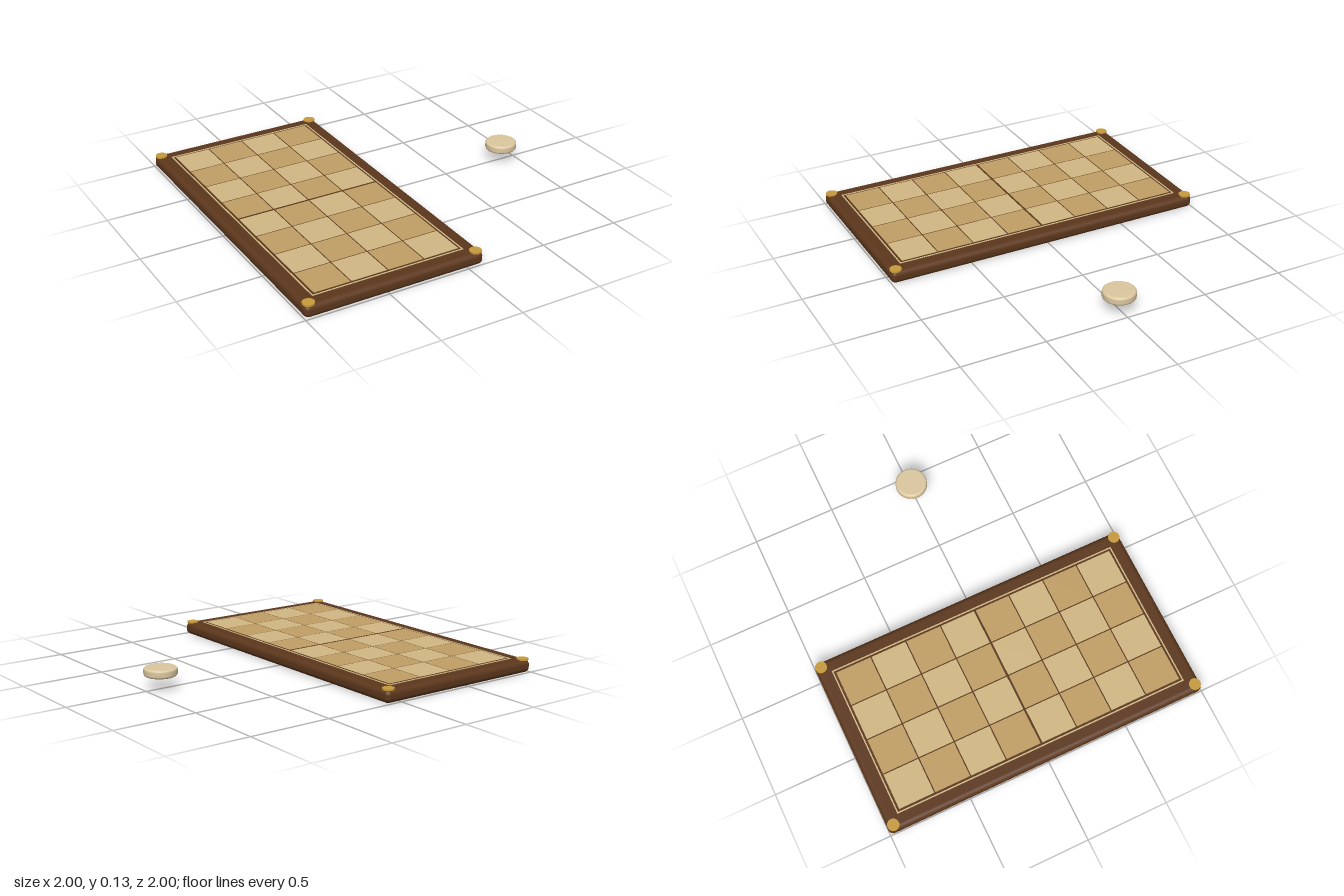
import * as THREE from 'three';
import { RoundedBoxGeometry } from 'three/addons/geometries/RoundedBoxGeometry.js';

const CX = -0.45; // centre of the board in x
const mat = (color) => new THREE.MeshStandardMaterial({ color });
const WOOD = mat(0x5c371c), LINE = mat(0x5a3a1e), INLAY = mat(0xd2b885);
const LIGHT = mat(0xd2b783), DARK = mat(0xc19f65), BRASS = mat(0xc79a3c), PIECE = mat(0xdcc8a0);

export function createModel() {
  const group = new THREE.Group();
  const add = (name, geometry, material, x, y, z, parent = group) => {
    const mesh = new THREE.Mesh(geometry, material);
    mesh.name = name;
    mesh.position.set(x, y, z);
    parent.add(mesh);
    return mesh;
  };

  // Rounded wooden board
  add('board', new RoundedBoxGeometry(1.1, 0.076, 2, 5, 0.03), WOOD, CX, 0.038, 0);

  // Pale inlay frame around the playing field
  const border = new THREE.Shape();
  const rect = (path, w, h) => path.moveTo(-w, -h).lineTo(w, -h).lineTo(w, h).lineTo(-w, h).closePath();
  rect(border, 0.467, 0.917);
  border.holes.push(rect(new THREE.Path(), 0.459, 0.909));
  const inlay = new THREE.ExtrudeGeometry(border, { depth: 0.006, bevelEnabled: false });
  inlay.rotateX(-Math.PI / 2);
  add('inlayBorder', inlay, INLAY, CX, 0.073, 0);

  // Dark field that shows as lines between the tiles
  add('field', new THREE.BoxGeometry(0.908, 0.006, 1.808), LINE, CX, 0.0755, 0);

  // Chequered tiles, four by eight
  const tiles = new THREE.Group();
  tiles.name = 'tiles';
  group.add(tiles);
  const step = 0.225;
  const tile = new THREE.BoxGeometry(step - 0.007, 0.006, step - 0.007);
  for (let row = 0; row < 8; row++) {
    for (let col = 0; col < 4; col++) {
      add('tile', tile, (row + col) % 2 ? DARK : LIGHT,
        CX + (col - 1.5) * step, 0.077, (row - 3.5) * step, tiles);
    }
  }

  // Fold line across the middle
  add('foldLine', new THREE.BoxGeometry(0.908, 0.006, 0.012), LINE, CX, 0.0778, 0);

  // Brass corner studs
  const stud = new THREE.CylinderGeometry(0.035, 0.035, 0.01, 32);
  for (const sx of [-1, 1]) {
    for (const sz of [-1, 1]) add('cornerStud', stud, BRASS, CX + sx * 0.514, 0.078, sz * 0.964);
  }

  // Round playing piece with softened edges
  const R = 0.096, H = 0.05, r = 0.014;
  const profile = [new THREE.Vector2(0, 0)];
  for (const [cy, start] of [[r, -Math.PI / 2], [H - r, 0]]) {
    for (let i = 0; i <= 5; i++) {
      const a = start + (i / 5) * Math.PI / 2;
      profile.push(new THREE.Vector2(R - r + r * Math.cos(a), cy + r * Math.sin(a)));
    }
  }
  profile.push(new THREE.Vector2(0, H));
  add('playingPiece', new THREE.LatheGeometry(profile, 48), PIECE, 0.904, 0.077, 0);

  return group;
}
